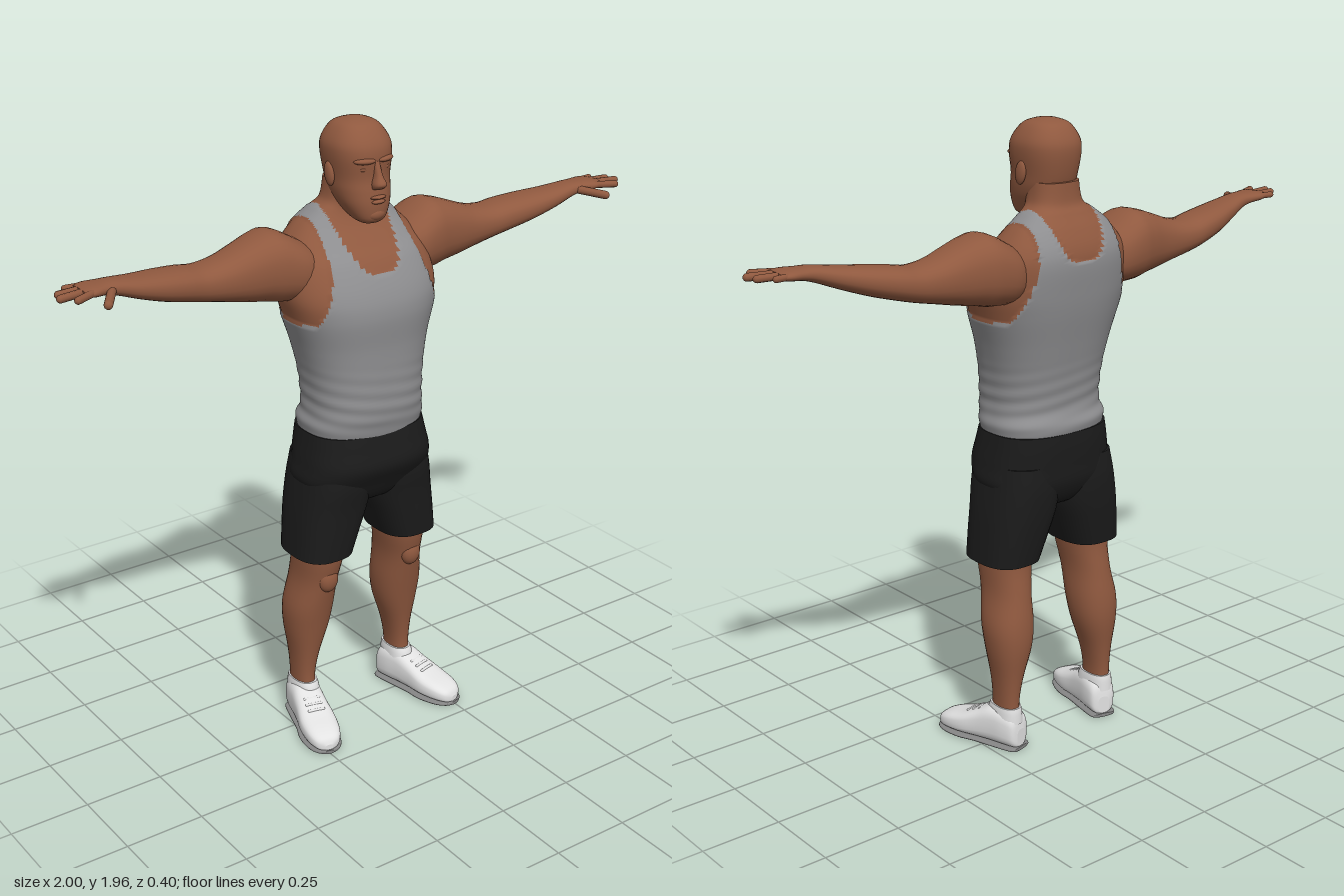
import * as THREE from 'three';

const mat = (name, color) => Object.assign(new THREE.MeshStandardMaterial({ color }), { name });

// Catmull-Rom interpolation of every column of a station table
function sample(rows, u) {
  const f = u * (rows.length - 1), i = Math.min(Math.floor(f), rows.length - 2), t = f - i;
  const at = k => rows[Math.max(0, Math.min(rows.length - 1, k))];
  return rows[0].map((_, c) => {
    const [a, b, d, e] = [at(i - 1)[c], at(i)[c], at(i + 1)[c], at(i + 2)[c]];
    return b + 0.5 * t * (d - a + t * (2 * a - 5 * b + 4 * d - e + t * (3 * (b - d) + e - a)));
  });
}

// Loft through stations [t, aMin, aMax, bMin, bMax]; place(t, a, b) gives [x, y, z].
// power < 1 squares the section; pick(x, y, z) splits the skin into two material groups.
function loft(rows, place, { n = 28, m = rows.length * 4, power = 0.85, pick } = {}) {
  const pos = [], lists = [[], []];
  const sp = v => Math.sign(v) * Math.abs(v) ** power;
  for (let j = 0; j <= m; j++) {
    const [t, a0, a1, b0, b1] = sample(rows, j / m);
    for (let i = 0; i < n; i++) {
      const q = (i / n) * Math.PI * 2;
      pos.push(...place(t, (a0 + a1) / 2 + (a1 - a0) / 2 * sp(Math.cos(q)),
        (b0 + b1) / 2 + (b1 - b0) / 2 * sp(Math.sin(q))));
    }
  }
  for (let j = 0; j < m; j++) for (let i = 0; i < n; i++) {
    const k = (i + 1) % n, a = j * n + i, b = j * n + k, c = a + n, d = b + n;
    const mid = [0, 1, 2].map(s => (pos[a * 3 + s] + pos[d * 3 + s]) / 2);
    lists[pick && pick(...mid) ? 1 : 0].push(a, c, b, b, c, d);
  }
  // flat end caps with their own rim vertices
  for (const j of [0, m]) {
    const base = pos.length / 3, sum = [0, 0, 0];
    for (let i = 0; i < n; i++) for (let s = 0; s < 3; s++) {
      const v = pos[(j * n + i) * 3 + s];
      pos.push(v);
      sum[s] += v / n;
    }
    pos.push(...sum);
    for (let i = 0; i < n; i++) {
      const a = base + i, b = base + (i + 1) % n;
      lists[0].push(...(j ? [a, base + n, b] : [a, b, base + n]));
    }
  }
  // turn the faces outward whatever the axis or side
  let idx = [...lists[0], ...lists[1]], volume = 0;
  const v = i => new THREE.Vector3(...pos.slice(i * 3, i * 3 + 3));
  for (let i = 0; i < idx.length; i += 3) volume += v(idx[i]).dot(v(idx[i + 1]).cross(v(idx[i + 2])));
  if (volume < 0) for (let i = 0; i < idx.length; i += 3) [idx[i], idx[i + 1]] = [idx[i + 1], idx[i]];
  const g = new THREE.BufferGeometry();
  g.setAttribute('position', new THREE.Float32BufferAttribute(pos, 3));
  g.setIndex(idx);
  if (pick) {
    g.addGroup(0, lists[0].length, 0);
    g.addGroup(lists[0].length, lists[1].length, 1);
  }
  g.computeVertexNormals();
  return g;
}

// Symmetric station: [t, half width, bMin, bMax]
const sym = rows => rows.map(([t, w, b0, b1]) => [t, -w, w, b0, b1]);

// Vest outline: scooped neck, deep armholes
function inVest(x, y, z) {
  const ax = Math.abs(x);
  const neck = (z > -0.05 ? 1.52 : 1.56) + 0.17 * (ax / 0.106) ** 4;
  const hole = 0.146 + 0.06 * Math.max(0, (1.66 - y) / 0.26) ** 2 + 0.2 * Math.max(0, (1.39 - y) / 0.04);
  return y < neck && ax < hole;
}

export function createModel() {
  const model = new THREE.Group();
  const skin = mat('skin', 0x90593f), vest = mat('vest grey', 0x8e8e90);
  const black = mat('shorts black', 0x1b1b1b), white = mat('shoe white', 0xe2e2e2);
  const soleGrey = mat('sole grey', 0x858585);
  const add = (name, geo, material, parent = model) => {
    const mesh = new THREE.Mesh(geo, material);
    mesh.name = name;
    parent.add(mesh);
    return mesh;
  };
  const blob = (name, p, r, parent, material = skin) => {
    const mesh = add(name, new THREE.SphereGeometry(1, 18, 12), material, parent);
    mesh.position.set(...p);
    mesh.scale.set(...r);
    return mesh;
  };
  const rod = (name, p, q, r, material, parent) => {
    const a = new THREE.Vector3(...p), b = new THREE.Vector3(...q), d = b.clone().sub(a);
    const mesh = add(name, new THREE.CapsuleGeometry(r, d.length(), 4, 10), material, parent);
    mesh.position.copy(a).add(b).multiplyScalar(0.5);
    mesh.quaternion.setFromUnitVectors(new THREE.Vector3(0, 1, 0), d.normalize());
  };
  const upright = (t, a, b) => [a, t, b];

  // Torso and neck, with the vest as a slightly raised second colour
  const torso = sym([[1.0, .185, -.135, .145], [1.05, .193, -.145, .155], [1.1, .183, -.13, .162],
    [1.2, .188, -.14, .162], [1.3, .208, -.158, .162], [1.4, .238, -.178, .167], [1.47, .252, -.188, .152],
    [1.55, .24, -.195, .112], [1.6, .213, -.188, .07], [1.65, .168, -.165, .03], [1.69, .12, -.138, .012],
    [1.72, .086, -.12, .015], [1.78, .076, -.115, .03]]);
  const clothed = (t, a, b) => {
    if (!inVest(a, t, b)) return [a, t, b];
    const fold = Math.max(0, 1 - Math.abs(t - 1.13) / 0.13);
    const r = 1.025 + 0.012 * fold * Math.sin(t * 130 + a * 18 + b * 9);
    return [a * r, t, b * r];
  };
  add('torso', loft(torso, clothed, { n: 112, m: 130, power: .82, pick: inVest }), [skin, vest]);

  // Head
  const head = new THREE.Group();
  head.name = 'head';
  model.add(head);
  add('skull', loft(sym([[1.665, .03, .03, .085], [1.68, .05, -.005, .1], [1.72, .073, -.06, .104],
    [1.76, .084, -.095, .1], [1.8, .088, -.11, .094], [1.86, .096, -.12, .097], [1.9, .092, -.115, .087],
    [1.94, .066, -.088, .055], [1.955, .035, -.052, .02], [1.96, .002, -.02, -.015]]), upright, { n: 36 }), skin, head);
  add('nose', loft(sym([[1.85, .009, .08, .098], [1.81, .012, .08, .115], [1.785, .02, .08, .13],
    [1.77, .018, .08, .113]]), upright, { n: 16 }), skin, head);
  blob('upperLip', [0, 1.745, .1], [.027, .006, .014], head);
  blob('lowerLip', [0, 1.732, .1], [.024, .007, .013], head);
  blob('chin', [0, 1.693, .088], [.032, .02, .018], head);
  for (const s of [-1, 1]) {
    blob('brow', [s * .036, 1.852, .083], [.034, .01, .018], head).rotation.y = s * .35;
    blob('eye', [s * .036, 1.828, .079], [.017, .008, .012], head);
    blob('ear', [s * .093, 1.805, -.012], [.011, .036, .021], head).rotation.x = -.2;
  }

  // Shorts seat
  add('shortsSeat', loft(sym([[1.025, .197, -.147, .152], [.98, .205, -.15, .163], [.92, .216, -.148, .173],
    [.86, .22, -.142, .145], [.8, .16, -.11, .11], [.77, .05, -.06, .06]]), upright, { n: 48, power: .75 }), black);

  for (const s of [1, -1]) {
    const side = s > 0 ? 'left' : 'right';
    const up = (t, a, b) => [s * a, t, b];

    // Arm from shoulder to wrist and palm
    const arm = new THREE.Group();
    arm.name = side + 'Arm';
    model.add(arm);
    const across = (t, a, b) => [s * t, b, a];
    add('armAndPalm', loft([[.13, -.12, .03, 1.47, 1.58], [.2, -.16, .06, 1.445, 1.625], [.27, -.165, .055, 1.445, 1.66],
      [.32, -.155, .045, 1.455, 1.655], [.38, -.14, .035, 1.465, 1.635], [.45, -.13, .025, 1.48, 1.61],
      [.52, -.125, .022, 1.495, 1.6], [.58, -.12, .03, 1.51, 1.608], [.66, -.1, .04, 1.532, 1.617],
      [.74, -.07, .045, 1.56, 1.625], [.81, -.045, .043, 1.587, 1.634], [.85, -.042, .046, 1.598, 1.635],
      [.89, -.046, .058, 1.603, 1.635], [.92, -.038, .055, 1.608, 1.63]], across), skin, arm);
    const fingers = [[.046, .955, .074, .011], [.019, .988, .036, .0115], [-.006, .978, .002, .011], [-.03, .94, -.034, .01]];
    for (const [z0, x1, z1, r] of fingers)
      rod('finger', [s * .9, 1.62, z0], [s * x1, 1.62, z1], r, skin, arm);
    rod('thumb', [s * .835, 1.612, .035], [s * .885, 1.603, .108], .013, skin, arm);

    // Shorts leg
    add(side + 'ShortsLeg', loft([[.93, .0, .208, -.135, .135], [.86, -.004, .222, -.142, .14],
      [.78, .008, .236, -.138, .13], [.7, .036, .246, -.128, .124], [.62, .065, .254, -.116, .118]], up,
      { n: 36, power: .75 }), black);

    // Leg and kneecap
    const leg = new THREE.Group();
    leg.name = side + 'Leg';
    model.add(leg);
    add('lowerLeg', loft([[.75, .075, .225, -.11, .1], [.62, .085, .225, -.1, .098], [.52, .098, .226, -.11, .075],
      [.42, .097, .245, -.122, .052], [.34, .108, .242, -.121, .034], [.24, .14, .226, -.106, .014],
      [.16, .155, .22, -.098, .005], [.08, .155, .22, -.098, .01]], up, { power: .9 }), skin, leg);
    blob('kneecap', [s * .16, .535, .062], [.035, .045, .028], leg);

    // Shoe, turned outward
    const shoe = new THREE.Group();
    shoe.name = side + 'Shoe';
    model.add(shoe);
    const c = Math.cos(.25), k = Math.sin(.25);
    const turned = (x, y, z) => [s * (.2 + x * c + z * k), y, z * c - x * k];
    const along = (t, a, b) => turned(a, b, t);
    add('upper', loft(sym([[-.108, .02, .012, .07], [-.098, .04, .008, .112], [-.06, .049, .008, .132],
      [-.01, .051, .008, .132], [.04, .054, .008, .11], [.1, .06, .008, .083], [.155, .054, .008, .066],
      [.19, .038, .008, .05], [.203, .012, .01, .03]]), along, { power: .68 }), white, shoe);
    add('sole', loft(sym([[-.112, .022, 0, .012], [-.1, .043, 0, .012], [-.03, .05, 0, .012], [.04, .054, 0, .012],
      [.1, .063, 0, .012], [.16, .056, 0, .012], [.195, .038, 0, .012], [.208, .014, 0, .012]]), along,
      { power: .6 }), soleGrey, shoe);
    add('collar', loft([[.09, .145, .23, -.108, .03], [.125, .148, .227, -.106, .02], [.142, .151, .224, -.103, .012]],
      up), white, shoe);
    for (const [z, y] of [[.04, .109], [.062, .1], [.084, .091]])
      rod('lace', turned(-.024, y - .004, z), turned(.024, y - .004, z), .005, white, shoe);
  }
  return model;
}
